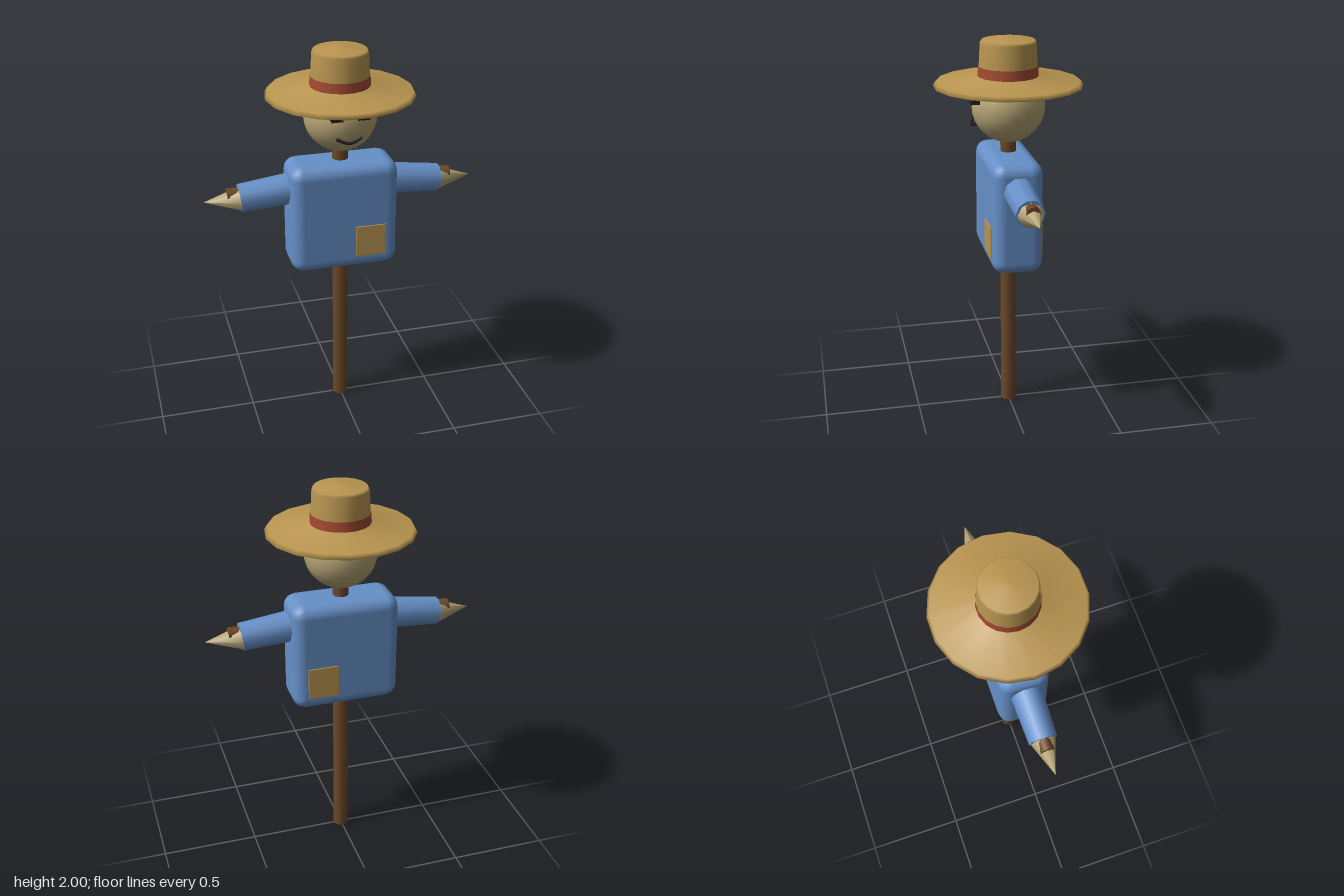
import * as THREE from 'three';
import { RoundedBoxGeometry } from 'three/addons/geometries/RoundedBoxGeometry.js';

const material = (name, color) => {
  const m = new THREE.MeshStandardMaterial({ color });
  m.name = name;
  return m;
};

export function createModel() {
  const wood = material('wood', 0x6b4829);
  const shirt = material('shirt blue', 0x6690c8);
  const sack = material('sackcloth', 0xb8a676);
  const straw = material('straw', 0xb99550);
  const red = material('band red', 0xa34a30);
  const dark = material('face dark', 0x241f1c);

  const model = new THREE.Group();
  model.name = 'scarecrow';

  const add = (name, geometry, mat, x = 0, y = 0, z = 0) => {
    const mesh = new THREE.Mesh(geometry, mat);
    mesh.name = name;
    mesh.position.set(x, y, z);
    model.add(mesh);
    return mesh;
  };

  // Tapered rod from point a (radius ra) to point b (radius rb)
  const rod = (name, a, b, ra, rb, sides, mat) => {
    const p = new THREE.Vector3(...a), q = new THREE.Vector3(...b);
    const dir = q.clone().sub(p);
    const mesh = add(name, new THREE.CylinderGeometry(rb, ra, dir.length(), sides), mat);
    mesh.position.copy(p).add(q).multiplyScalar(0.5);
    mesh.quaternion.setFromUnitVectors(new THREE.Vector3(0, 1, 0), dir.normalize());
    return mesh;
  };

  // Wooden frame
  rod('pole', [0, 0, 0], [0, 1.55, 0], 0.041, 0.041, 12, wood);
  rod('crossbar', [-0.585, 1.28, 0], [0.585, 1.28, 0], 0.035, 0.035, 10, wood);

  // Shirt
  add('torso', new RoundedBoxGeometry(0.56, 0.58, 0.26, 2, 0.065), shirt, 0, 1.132, 0);

  // Sleeves with straw hands
  for (const s of [1, -1]) {
    const side = s > 0 ? 'left' : 'right';
    rod(side + 'Sleeve', [s * 0.25, 1.283, 0], [s * 0.522, 1.257, 0], 0.081, 0.072, 10, shirt);
    rod(side + 'Hand', [s * 0.51, 1.254, 0], [s * 0.702, 1.254, 0], 0.068, 0, 8, sack);
  }

  // Patches on the front and back of the shirt
  for (const s of [1, -1]) {
    add(s > 0 ? 'frontPatch' : 'backPatch',
      new RoundedBoxGeometry(0.16, 0.17, 0.008, 1, 0.003), straw, 0.13, 1.0, s * 0.131);
  }

  // Head and face
  add('head', new THREE.SphereGeometry(0.186, 20, 16), sack, 0, 1.657, 0);
  for (const s of [1, -1]) {
    add(s > 0 ? 'leftEye' : 'rightEye', new THREE.BoxGeometry(0.058, 0.021, 0.045), dark, s * 0.066, 1.699, 0.183);
  }
  const smile = new THREE.CatmullRomCurve3([
    [-0.064, 1.591, 0.171], [-0.034, 1.577, 0.181], [0, 1.569, 0.186],
    [0.034, 1.577, 0.181], [0.064, 1.591, 0.171],
  ].map(p => new THREE.Vector3(...p)));
  add('mouth', new THREE.TubeGeometry(smile, 12, 0.008, 6), dark);

  // Hat: one smooth profile from under the brim to the crown
  const profile = [
    [0.1, 1.772], [0.355, 1.757], [0.375, 1.76], [0.362, 1.782], [0.15, 1.806],
    [0.146, 1.86], [0.14, 1.973], [0.133, 1.986], [0, 2.0],
  ].map(p => new THREE.Vector2(...p));
  add('hat', new THREE.LatheGeometry(profile, 18), straw).rotation.y = Math.PI / 2;
  const band = new THREE.CylinderGeometry(0.149, 0.152, 0.05, 18, 1, true);
  add('hatBand', band, red, 0, 1.833, 0).rotation.y = Math.PI / 2;

  return model;
}
